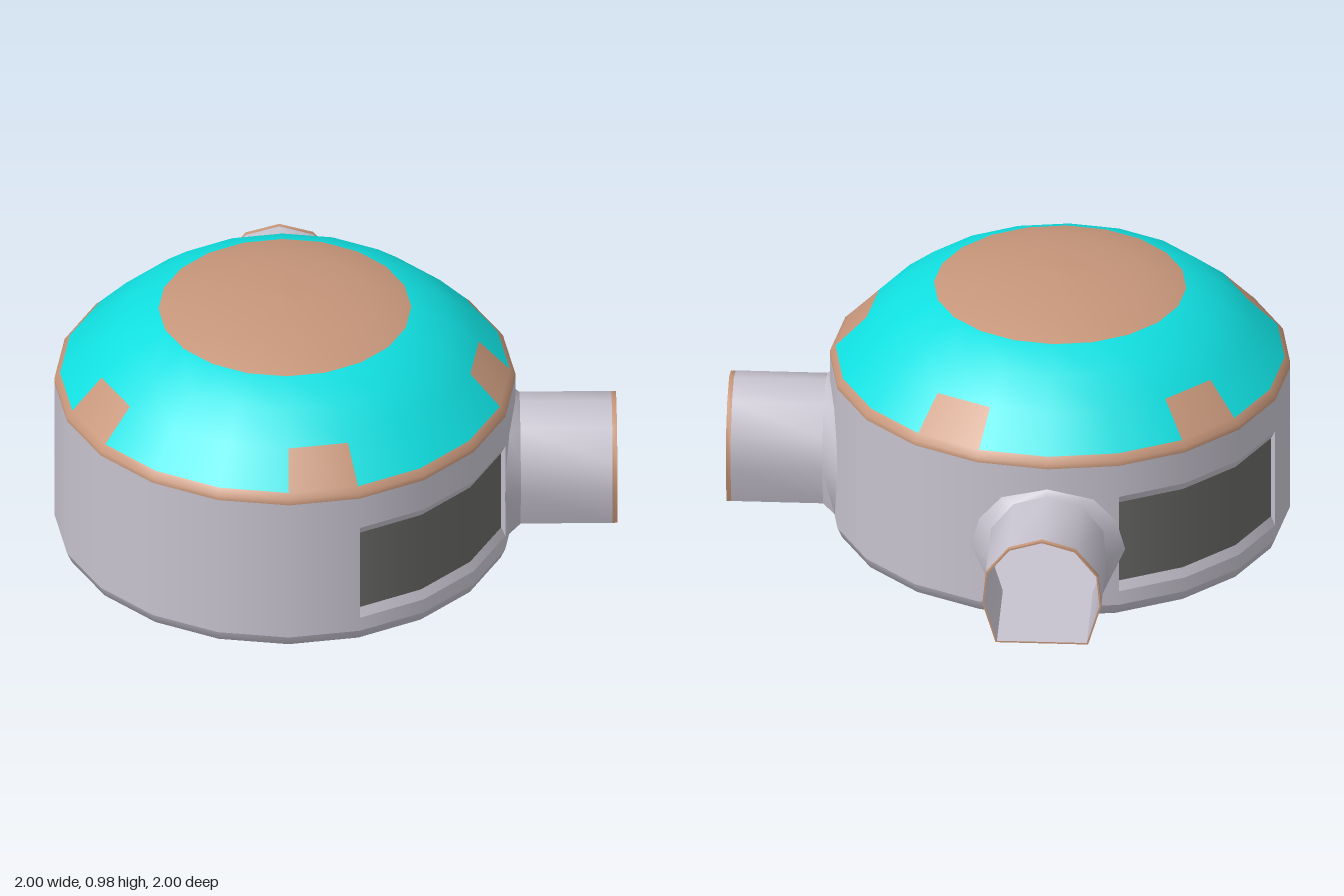
import * as THREE from 'three';
import { toCreasedNormals } from 'three/addons/utils/BufferGeometryUtils.js';

const SIDES = 20, STEP = Math.PI * 2 / SIDES, R = 0.82;
const CHAMFER = Math.tan(STEP / 2); // how fast a wall facet falls away from its corner

function material(name, color) {
  const m = new THREE.MeshStandardMaterial({ color, side: THREE.DoubleSide });
  m.name = name;
  return m;
}

export function createModel() {
  const grey = material('lilac grey', 0xc6c2ce);
  const teal = material('turquoise', 0x10dfe0);
  const brown = material('copper brown', 0xc6967a);
  const dark = material('dark glass', 0x666664);

  const model = new THREE.Group();
  const drum = new THREE.Group();
  drum.name = 'drum';
  drum.position.set(-0.18, 0, 0.18);
  model.add(drum);

  function add(parent, name, geometry, mat) {
    const mesh = new THREE.Mesh(geometry, mat);
    mesh.name = name;
    parent.add(mesh);
    return mesh;
  }

  // Turned strip covering some of the twenty sides
  function turned(name, profile, mat, first = 0, count = SIDES) {
    const pts = profile.map(p => new THREE.Vector2(...p));
    return add(drum, name, new THREE.LatheGeometry(pts, count, first * STEP, count * STEP), mat);
  }

  // Base
  turned('baseFloor', [[0, 0], [0.775, 0]], grey);
  turned('baseRoundedEdge', [[0.775, 0], [0.803, 0.016], [R, 0.055]], grey);

  // Plain wall stretches: [first side, number of sides]
  for (const [first, count] of [[0, 1], [6, 3], [14, 6]]) {
    turned('wall', [[R, 0.055], [R, 0.615]], grey, first, count);
  }

  // Recessed windows with sloping sills
  const recess = [[R, 0.11], [0.805, 0.145], [0.805, 0.46], [R, 0.49]];
  for (const first of [1, 11]) {
    turned('wallBelowWindow', [[R, 0.055], recess[0]], grey, first, 3);
    turned('windowSill', recess.slice(0, 2), grey, first, 3);
    turned('window', recess.slice(1, 3), dark, first, 3);
    turned('windowHead', recess.slice(2), grey, first, 3);
    turned('wallAboveWindow', [recess[3], [R, 0.615]], grey, first, 3);
    for (const end of [first, first + 3]) {
      const cheek = new THREE.ShapeGeometry(new THREE.Shape(recess.map(p => new THREE.Vector2(...p))));
      add(drum, 'windowCheek', cheek, grey).rotation.y = end * STEP - Math.PI / 2;
    }
  }

  // Dome: brown rim, brown cap and five brown blocks on turquoise
  const dome = turned('dome', [
    [R, 0.615], [R, 0.635], [0.80, 0.655], [0.69, 0.772], [0.58, 0.862],
    [0.45, 0.923], [0.30, 0.958], [0.15, 0.977], [0, 0.983],
  ], [teal, brown]);
  const rows = 8;
  for (let side = 0; side < SIDES; side++) {
    for (let row = 0; row < rows; row++) {
      const isBrown = row < 2 || row >= 5 || (row === 2 && side % 4 === 0);
      dome.geometry.addGroup((side * rows + row) * 6, 6, isBrown ? 1 : 0);
    }
  }

  // Port outlines as [sideways, height], from the top down one side
  const pipeHalf = [[0, 0.515], [0.12, 0.48], [0.2, 0.38], [0.212, 0.26], [0.165, 0.105]];
  const collarHalf = [[0, 0.535], [0.165, 0.485], [0.245, 0.39], [0.275, 0.28], [0.18, 0.07]];
  const mirror = half => [...half, ...half.slice(1).reverse().map(([u, y]) => [-u, y])];
  const wallX = u => R - Math.abs(u) * CHAMFER;

  // Ring of points at distance x (number or rule), shrunk about the pipe axis
  const ring = (half, x, scale = 1) => mirror(half).map(([u, y]) =>
    [typeof x === 'number' ? x : x(u), 0.3 + (y - 0.3) * scale, -u * scale]);

  // Skin between two rings
  function loft(a, b) {
    const n = a.length, index = [];
    for (let i = 0; i < n; i++) {
      const j = (i + 1) % n;
      index.push(i, n + i, j, n + i, n + j, j);
    }
    const g = new THREE.BufferGeometry();
    g.setAttribute('position', new THREE.Float32BufferAttribute([...a, ...b].flat(), 3));
    g.setIndex(index);
    return toCreasedNormals(g, 0.9);
  }

  // Wall facet beside a port, cut out along the pipe outline
  function portWall(sign) {
    const w = R * Math.sin(STEP);
    const pts = [[0, 0.055], [w, 0.055], [w, 0.615], [0, 0.615], ...pipeHalf, [0, 0.105]];
    const g = new THREE.ShapeGeometry(new THREE.Shape(pts.map(([u, y]) => new THREE.Vector2(sign * u, y))));
    const p = g.attributes.position, n = g.attributes.normal;
    for (let i = 0; i < p.count; i++) {
      const u = p.getX(i), x = wallX(u), len = Math.hypot(x, u);
      p.setXYZ(i, x, p.getY(i), -u);
      n.setXYZ(i, x / len, 0, -u / len);
    }
    return g;
  }

  // Two open ports: one to the left, one to the back
  for (const [name, turn] of [['leftPort', 0], ['backPort', Math.PI / 2]]) {
    const port = new THREE.Group();
    port.name = name;
    port.rotation.y = turn;
    drum.add(port);
    for (const sign of [-1, 1]) add(port, 'portWall', portWall(sign), grey);
    add(port, 'collar', loft(ring(collarHalf, u => wallX(u) + 0.002), ring(pipeHalf, 0.836)), grey);
    add(port, 'pipe', loft(ring(pipeHalf, 0.82), ring(pipeHalf, 1.163)), grey);
    add(port, 'pipeRim', loft(ring(pipeHalf, 1.163), ring(pipeHalf, 1.18)), brown);
    add(port, 'pipeLip', loft(ring(pipeHalf, 1.18), ring(pipeHalf, 1.18, 0.97)), brown);
    add(port, 'pipeLining', loft(ring(pipeHalf, 1.18, 0.97), ring(pipeHalf, 0.8, 0.97)), grey);
  }

  return model;
}
